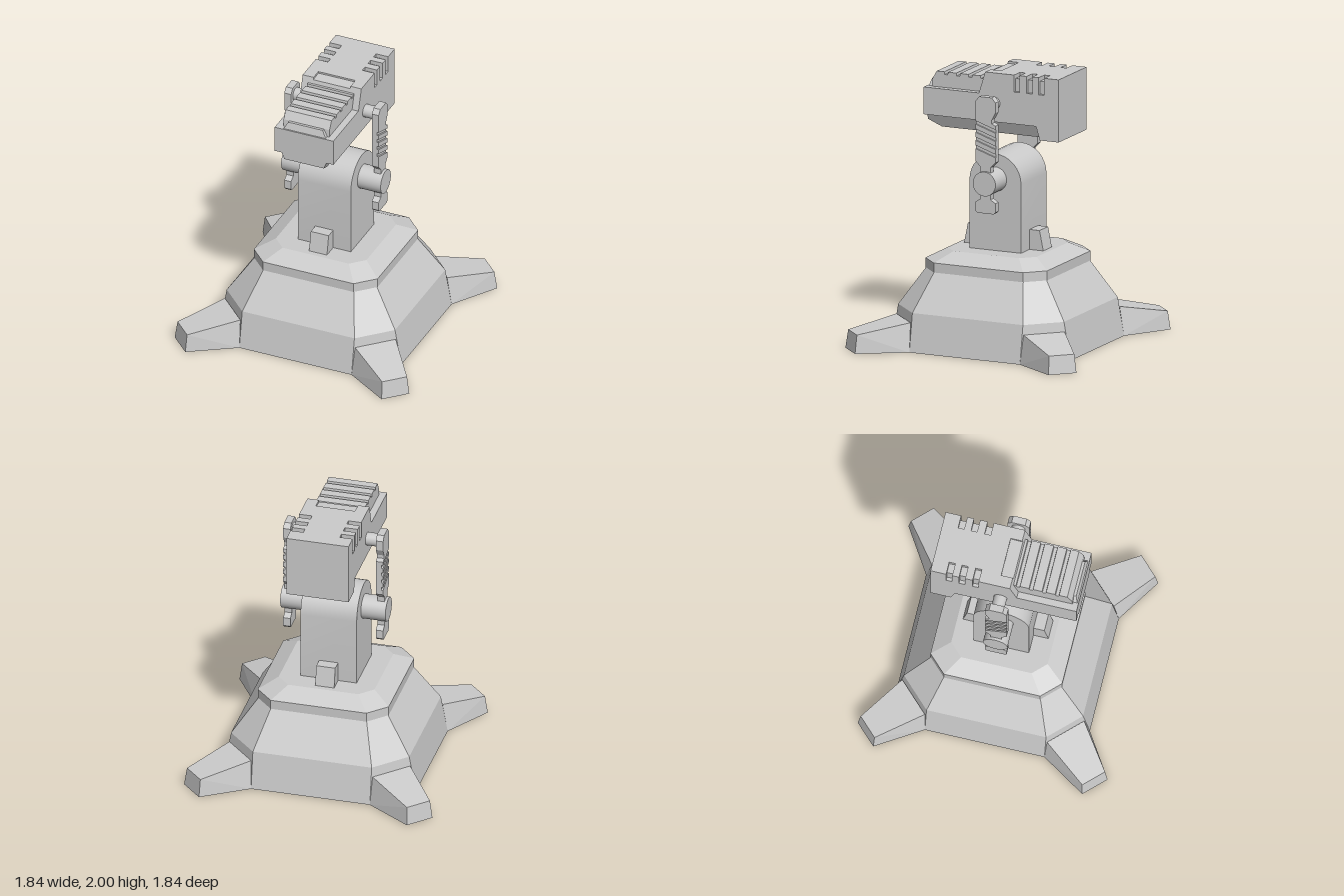
import * as THREE from 'three';
import { ConvexGeometry } from 'three/addons/geometries/ConvexGeometry.js';
import { toCreasedNormals } from 'three/addons/utils/BufferGeometryUtils.js';

const material = new THREE.MeshStandardMaterial({ color: 0xcccccc });

function add(parent, name, geometry) {
  const mesh = new THREE.Mesh(geometry, material);
  mesh.name = name;
  parent.add(mesh);
  return mesh;
}

function group(parent, name) {
  const g = new THREE.Group();
  g.name = name;
  parent.add(g);
  return g;
}

function extrude(shape, depth) {
  return new THREE.ExtrudeGeometry(shape, { depth, bevelEnabled: false, curveSegments: 8 });
}

const outline = (pts) => new THREE.Shape(pts.map(([x, y]) => new THREE.Vector2(x, y)));

// Side profile of (z, y) points, stretched from x0 to x1
function acrossX(shape, x0, x1) {
  return extrude(shape, x1 - x0).rotateY(-Math.PI / 2).translate(x1, 0, 0);
}

const hull = (pts) => new ConvexGeometry(pts.map((p) => new THREE.Vector3(...p)));

// Points repeated on both sides of x = 0
const bothSides = (pts) => pts.flatMap(([x, y, z]) => [[x, y, z], [-x, y, z]]);

// Eight corners of a chamfered square: half width a, straight half edge b
function octagon([y, a, b]) {
  return [1, -1].flatMap((s) => [1, -1].flatMap((t) => [[s * a, y, t * b], [s * b, y, t * a]]));
}

function rod(radius, x0, x1, y) {
  return new THREE.CylinderGeometry(radius, radius, x1 - x0, 32)
    .rotateZ(Math.PI / 2).translate((x0 + x1) / 2, y, 0);
}

function buildBase(parent) {
  const base = group(parent, 'base');
  add(base, 'baseBody', hull([[0, 0.71, 0.44], [0.28, 0.66, 0.44], [0.55, 0.48, 0.355]].flatMap(octagon)));
  add(base, 'baseCollar', hull([[0.55, 0.485, 0.355], [0.62, 0.485, 0.355], [0.69, 0.355, 0.26]].flatMap(octagon)));

  // Four splayed feet on the diagonals
  for (const sx of [1, -1]) for (const sz of [1, -1]) {
    const half = [[0.44, 0, 0.71], [0.45, 0.21, 0.67], [0.77, 0, 0.92], [0.765, 0.135, 0.9]];
    const pts = half.flatMap(([a, y, b]) => [[sx * a, y, sz * b], [sx * b, y, sz * a]]);
    add(base, 'foot', hull(pts));
  }
}

function buildColumn(parent) {
  const column = group(parent, 'column');
  const shape = new THREE.Shape();
  shape.moveTo(-0.205, 0.69);
  shape.lineTo(0.205, 0.69);
  shape.lineTo(0.205, 1.195);
  shape.absarc(0, 1.195, 0.205, 0, Math.PI, false);
  add(column, 'post', toCreasedNormals(acrossX(shape, -0.208, 0.208), 0.5));
  for (const s of [1, -1]) {
    const wedge = outline([[s * 0.2, 0.69], [s * 0.315, 0.69], [s * 0.285, 0.837], [s * 0.2, 0.837]]);
    add(column, 'postBracket', acrossX(wedge, -0.07, 0.07));
  }
  add(column, 'axle', rod(0.09, -0.39, 0.39, 1.215));
}

function buildArm(parent, side) {
  const arm = group(parent, side > 0 ? 'leftArm' : 'rightArm');
  const slab = (pts, inner, outer) =>
    acrossX(outline(pts), Math.min(side * inner, side * outer), Math.max(side * inner, side * outer));

  const head = [[0.08, 1.815], [0.05, 1.85], [-0.05, 1.85], [-0.08, 1.815], [-0.08, 1.74],
    [-0.05, 1.685], [-0.05, 1.66], [-0.08, 1.645]];
  const foot = [[-0.08, 1.375], [-0.04, 1.335], [-0.04, 1.1], [-0.08, 1.075], [-0.08, 1.01],
    [-0.065, 0.995], [0.065, 0.995], [0.08, 1.01], [0.08, 1.075], [0.04, 1.1], [0.04, 1.335], [0.08, 1.375]];
  add(arm, 'armCore', slab([...head, ...foot], 0.317, 0.357));

  // Raised outer layer, split by slanted grooves
  add(arm, 'armUpperPlate', slab([...head, [-0.08, 1.617], [0.08, 1.67]], 0.357, 0.37));
  for (let i = 0; i < 3; i++) {
    const y = 1.645 - 0.06 * i;
    add(arm, 'armRib', slab([[0.08, y], [-0.08, y - 0.053], [-0.08, y - 0.088], [0.08, y - 0.035]], 0.357, 0.37));
  }
  add(arm, 'armLowerPlate', slab([[0.08, 1.465], [-0.08, 1.412], ...foot], 0.357, 0.37));

  const ends = [side * 0.22, side * 0.32].sort((a, b) => a - b);
  add(arm, 'headPin', rod(0.048, ends[0], ends[1], 1.777));
}

function buildHead(parent) {
  const head = group(parent, 'head');
  const W = 0.23;

  add(head, 'headBody', acrossX(outline([
    [0.56, 1.84], [0.56, 1.64], [-0.335, 1.64], [-0.365, 1.54],
    [-0.515, 1.54], [-0.515, 1.875], [0.109, 1.875], [0.12, 1.84],
  ]), -W, W));

  // Tapered underside
  add(head, 'keel', hull(bothSides([
    [0.175, 1.64, 0.56], [0.155, 1.59, 0.56], [0.135, 1.54, 0.46], [0.175, 1.64, -0.36], [0.135, 1.54, -0.37],
  ])));

  // Front part of the raised roof with a shallow recess in the middle
  const cheek = outline([[-0.16, 1.875], [0.109, 1.875], [0.07, 2], [-0.16, 2]]);
  add(head, 'roofFront', acrossX(cheek, 0.145, W));
  add(head, 'roofFront', acrossX(cheek, -W, -0.145));
  add(head, 'roofRecess', acrossX(outline([
    [-0.16, 1.875], [0.109, 1.875], [0.075, 1.983], [-0.015, 1.987], [-0.015, 2], [-0.16, 2],
  ]), -0.145, 0.145));

  // Rear part of the roof: plain slices alternate with vent slots
  const plain = [[W, 1.875], [W, 2]];
  const slotted = [[0.205, 1.875], [0.205, 1.97], [0.135, 1.97], [0.135, 2]];
  const cuts = [-0.16, -0.205, -0.26, -0.305, -0.355, -0.4, -0.515];
  for (let i = 0; i < cuts.length - 1; i++) {
    const right = i % 2 ? plain : slotted;
    const left = right.map(([x, y]) => [-x, y]).reverse();
    const slice = extrude(outline([...right, ...left]), cuts[i] - cuts[i + 1]);
    add(head, i % 2 ? 'roofSlice' : 'ventSlot', slice.translate(0, 0, cuts[i + 1]));
  }

  // Ribbed cover on the nose
  const ribs = [[0.09, 1.84], [0.52, 1.84], [0.515, 1.895], [0.48, 1.955]];
  for (let i = 0; i < 4; i++) {
    const z = 0.42 - 0.096 * i;
    ribs.push([z, 1.955], [z - 0.003, 1.935], [z - 0.027, 1.935], [z - 0.03, 1.955]);
  }
  ribs.push([0.08, 1.955]);
  add(head, 'ribbedCover', acrossX(outline(ribs), -0.18, 0.18));
  add(head, 'noseLip', hull(bothSides([
    [0.165, 1.84, 0.55], [0.135, 1.893, 0.535], [0.165, 1.84, 0.5], [0.135, 1.893, 0.5],
  ])));
}

export function createModel() {
  const model = new THREE.Group();
  model.name = 'swivelMount';
  buildBase(model);
  buildColumn(model);
  for (const side of [1, -1]) buildArm(model, side);
  buildHead(model);
  return model;
}
